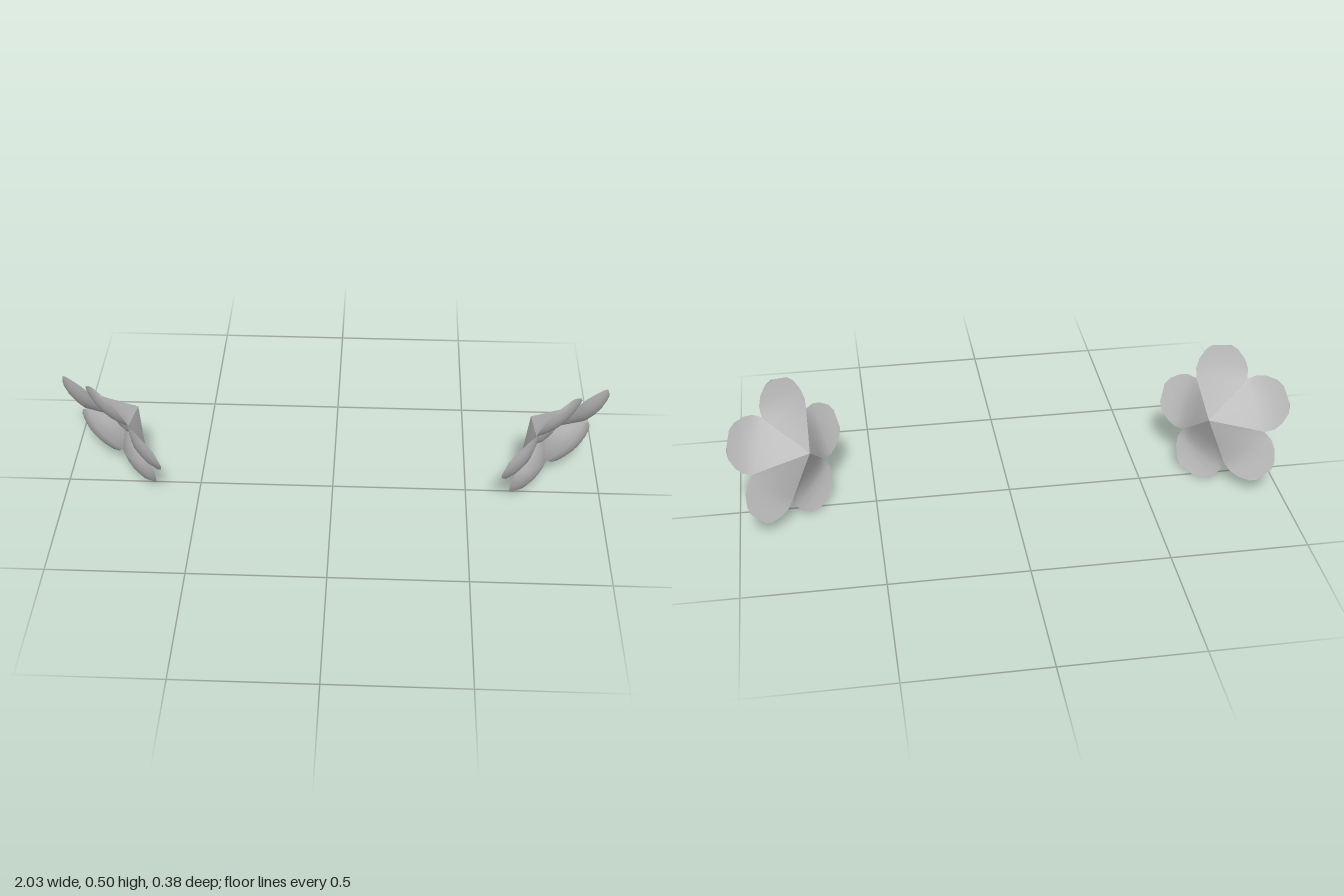
import * as THREE from 'three';

const TAU = Math.PI * 2;

// Petal rows: distance along petal, half width, front ridge, front edge, back ridge, back edge
const ROWS = [
  [0.040, 0.029, 0.000, 0.000, -0.046, -0.046],
  [0.090, 0.065, 0.034, 0.020, -0.006, -0.004],
  [0.142, 0.103, 0.060, 0.040, 0.032, 0.040],
  [0.180, 0.105, 0.067, 0.045, 0.045, 0.045],
  [0.215, 0.092, 0.067, 0.049, 0.049, 0.049],
  [0.250, 0.065, 0.060, 0.050, 0.050, 0.050],
  [0.266, 0.037, 0.050, 0.050, 0.050, 0.050],
];
const APEX = [0, 0, -0.08, -0.08, -0.08, -0.08];
const COLS = 6;

// One skin of a petal, arched across its width
function petalSkin(rows, ridge, edge, flip) {
  const pos = [], idx = [];
  for (const r of rows) {
    for (let j = 0; j <= COLS; j++) {
      const k = (j / COLS) * 2 - 1;
      pos.push(r[0], r[1] * k, r[edge] + (r[ridge] - r[edge]) * (1 - k * k));
    }
  }
  const n = COLS + 1;
  for (let i = 0; i < rows.length - 1; i++) {
    for (let j = 0; j < COLS; j++) {
      const a = i * n + j, b = a + n, c = b + 1, d = a + 1;
      if (flip) idx.push(a, c, b, a, d, c);
      else idx.push(a, b, c, a, c, d);
    }
  }
  const g = new THREE.BufferGeometry();
  g.setAttribute('position', new THREE.Float32BufferAttribute(pos, 3));
  g.setIndex(idx);
  return g;
}

// Bakes a placement into a geometry, turning the faces round when it mirrors
function place(geometry, matrix) {
  geometry.applyMatrix4(matrix);
  if (matrix.determinant() < 0) {
    const a = geometry.index.array;
    for (let i = 0; i < a.length; i += 3) [a[i + 1], a[i + 2]] = [a[i + 2], a[i + 1]];
  }
  geometry.computeVertexNormals();
  return geometry;
}

function makeFlower(side, material) {
  const flower = new THREE.Group();
  flower.name = side > 0 ? 'leftFlower' : 'rightFlower';

  // Flower frame: faces outwards, forwards and a little down
  const n = new THREE.Vector3(0.649, -0.328, 0.687).normalize();
  const v = new THREE.Vector3(0, 1, 0).addScaledVector(n, -n.y).normalize();
  const u = new THREE.Vector3().crossVectors(v, n);
  const frame = new THREE.Matrix4().makeBasis(u, v, n).setPosition(0.78, 0.247, -0.03);
  frame.premultiply(new THREE.Matrix4().makeScale(side, 1, 1));

  const add = (name, geometry, matrix) => {
    const mesh = new THREE.Mesh(place(geometry, matrix), material);
    mesh.name = name;
    flower.add(mesh);
  };

  // Five petals, each with a front and a back that runs to the rear point
  for (let i = 0; i < 5; i++) {
    const angle = THREE.MathUtils.degToRad(106) + (i * TAU) / 5;
    const m = frame.clone().multiply(new THREE.Matrix4().makeRotationZ(angle));
    add('petalFront', petalSkin(ROWS, 2, 3, false), m);
    add('petalBack', petalSkin([APEX, ...ROWS], 4, 5, true), m);
  }

  // Shallow domed centre
  const profile = [[0.057, -0.012], [0.057, 0.007], [0.035, 0.012], [0, 0.014]]
    .map(([x, y]) => new THREE.Vector2(x, y));
  const dome = new THREE.LatheGeometry(profile, 10).rotateX(Math.PI / 2);
  add('flowerCentre', dome, frame);
  return flower;
}

export function createModel() {
  const material = new THREE.MeshStandardMaterial({ color: 0xc0c0c0, side: THREE.DoubleSide });
  material.name = 'light grey';
  const model = new THREE.Group();
  model.name = 'flowerPair';
  for (const side of [1, -1]) model.add(makeFlower(side, material));
  return model;
}
